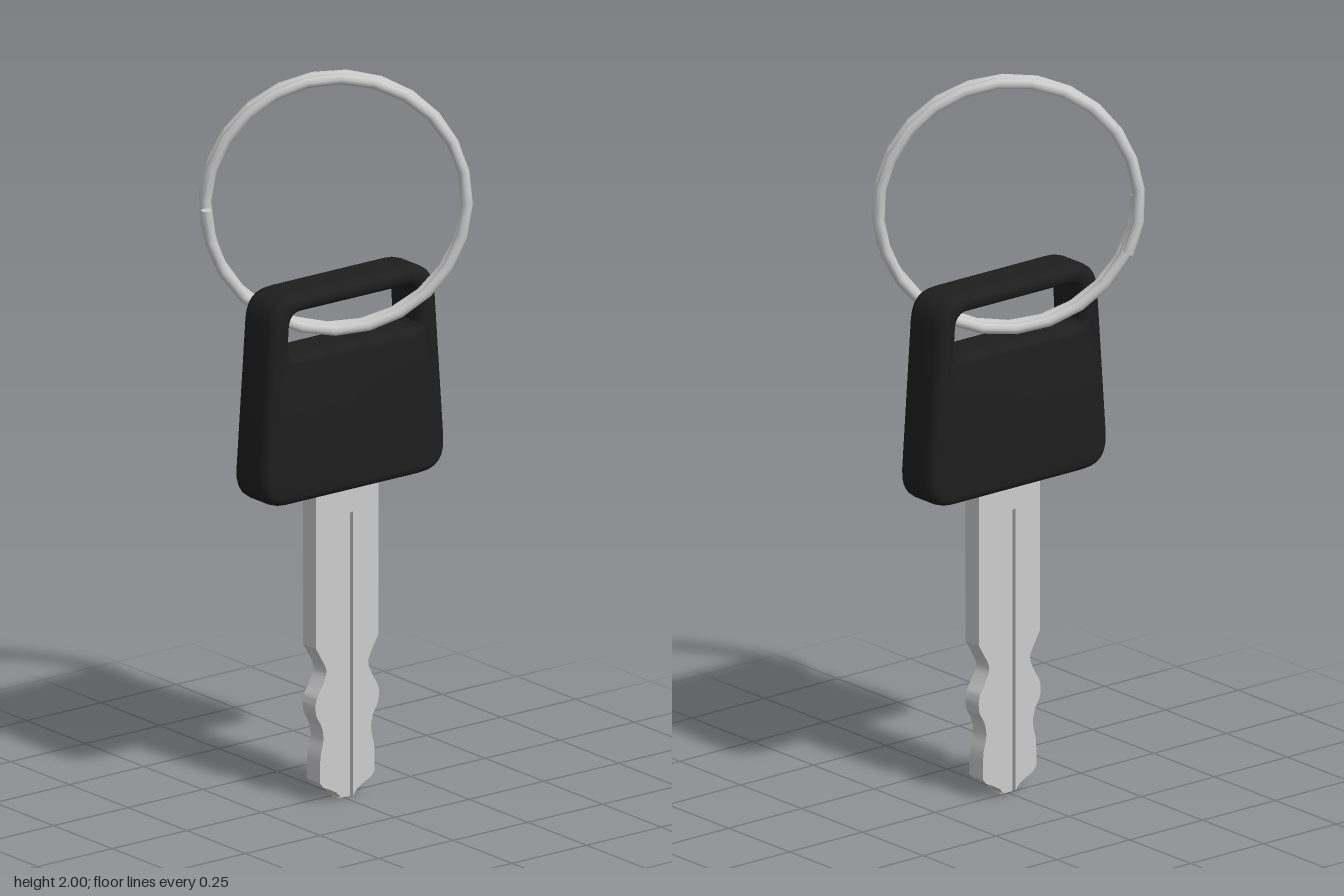
import * as THREE from 'three';
import { toCreasedNormals } from 'three/addons/utils/BufferGeometryUtils.js';

const metal = new THREE.MeshStandardMaterial({ color: 0xcccccc });
const plastic = new THREE.MeshStandardMaterial({ color: 0x1e1e1e });

function addMesh(parent, name, geometry, material) {
  const mesh = new THREE.Mesh(geometry, material);
  mesh.name = name;
  parent.add(mesh);
  return mesh;
}

// Closed polygon with corners [x, y, radius] rounded off
function roundedPath(path, corners) {
  const n = corners.length;
  corners.forEach(([x, y, r], i) => {
    const p = new THREE.Vector2(x, y);
    const toward = ([qx, qy]) =>
      new THREE.Vector2(qx, qy).sub(p).setLength(r).add(p);
    const a = toward(corners[(i + n - 1) % n]);
    const b = toward(corners[(i + 1) % n]);
    if (i === 0) path.moveTo(a.x, a.y);
    else path.lineTo(a.x, a.y);
    path.quadraticCurveTo(x, y, b.x, b.y);
  });
  path.closePath();
  return path;
}

// Plastic grip: tapered, rounded, with a slot for the ring
function createHead() {
  const outline = roundedPath(new THREE.Shape(), [
    [-0.312, 0.86, 0.09], [0.312, 0.86, 0.09],
    [0.27, 1.44, 0.08], [-0.27, 1.44, 0.08],
  ]);
  outline.holes.push(roundedPath(new THREE.Path(), [
    [-0.218, 1.27, 0.02], [-0.21, 1.388, 0.035],
    [0.21, 1.388, 0.035], [0.218, 1.27, 0.02],
  ]));
  const bevel = 0.022, bevelDepth = 0.03, depth = 0.078;
  const geometry = new THREE.ExtrudeGeometry(outline, {
    depth, bevelSize: bevel, bevelOffset: -bevel,
    bevelThickness: bevelDepth, bevelSegments: 4, curveSegments: 6,
  });
  geometry.translate(0.003, 0, 0.013 - depth / 2);
  return toCreasedNormals(geometry, 0.7);
}

// Blade: wavy edges, split by a groove with a thin web left in it
function createBlade() {
  const blade = new THREE.Group();
  blade.name = 'blade';
  const wave = new THREE.CatmullRomCurve3([
    [0.105, 0.435], [0.088, 0.405], [0.07, 0.365], [0.085, 0.325],
    [0.104, 0.29], [0.104, 0.25], [0.086, 0.215], [0.08, 0.18],
    [0.09, 0.13], [0.092, 0.06],
  ].map(([x, y]) => new THREE.Vector3(x, y, 0))).getPoints(36);
  const side = [
    [0.105, 0.92], ...wave.map((p) => [p.x, p.y]),
    [0.08, 0.045], [0.058, 0.035], [0.035, 0.022], [0.02, 0.005], [0.02, 0.79],
  ];
  const mirrored = side.map(([x, y]) => [-x, y]).reverse();
  const shape = new THREE.Shape(
    [...side, ...mirrored].map(([x, y]) => new THREE.Vector2(x, y)));
  const depth = 0.055;
  const body = new THREE.ExtrudeGeometry(shape, { depth, bevelEnabled: false });
  body.translate(0, 0, -depth / 2);
  addMesh(blade, 'bladeBody', toCreasedNormals(body, 0.5), metal);

  const web = new THREE.BoxGeometry(0.04, 0.79, 0.029);
  addMesh(blade, 'grooveWeb', web, metal).position.y = 0.395;
  blade.position.set(0.003, 0, 0.017);
  return blade;
}

// Split ring: a flat coil of a little over two turns
class Coil extends THREE.Curve {
  getPoint(t, target = new THREE.Vector3()) {
    const angle = Math.PI + t * THREE.MathUtils.degToRad(744);
    const radius = 0.346;
    return target.set(radius * Math.cos(angle), radius * Math.sin(angle), 0.031 - 0.062 * t);
  }
}

function createRing() {
  const ring = new THREE.Group();
  ring.name = 'splitRing';
  const coil = new Coil();
  const wire = 0.0155, sides = 8;
  addMesh(ring, 'ringWire', new THREE.TubeGeometry(coil, 50, wire, sides), metal);
  // Caps on the two wire ends
  for (const [t, sign] of [[0, -1], [1, 1]]) {
    const cap = addMesh(ring, 'wireEnd', new THREE.CircleGeometry(wire, sides), metal);
    const end = coil.getPoint(t);
    cap.position.copy(end);
    cap.lookAt(end.clone().addScaledVector(coil.getTangent(t), sign));
  }
  ring.position.y = 1.639;
  ring.rotation.y = THREE.MathUtils.degToRad(-32.3);
  return ring;
}

export function createModel() {
  const key = new THREE.Group();
  key.name = 'key';
  addMesh(key, 'head', createHead(), plastic);
  key.add(createBlade(), createRing());
  return key;
}
